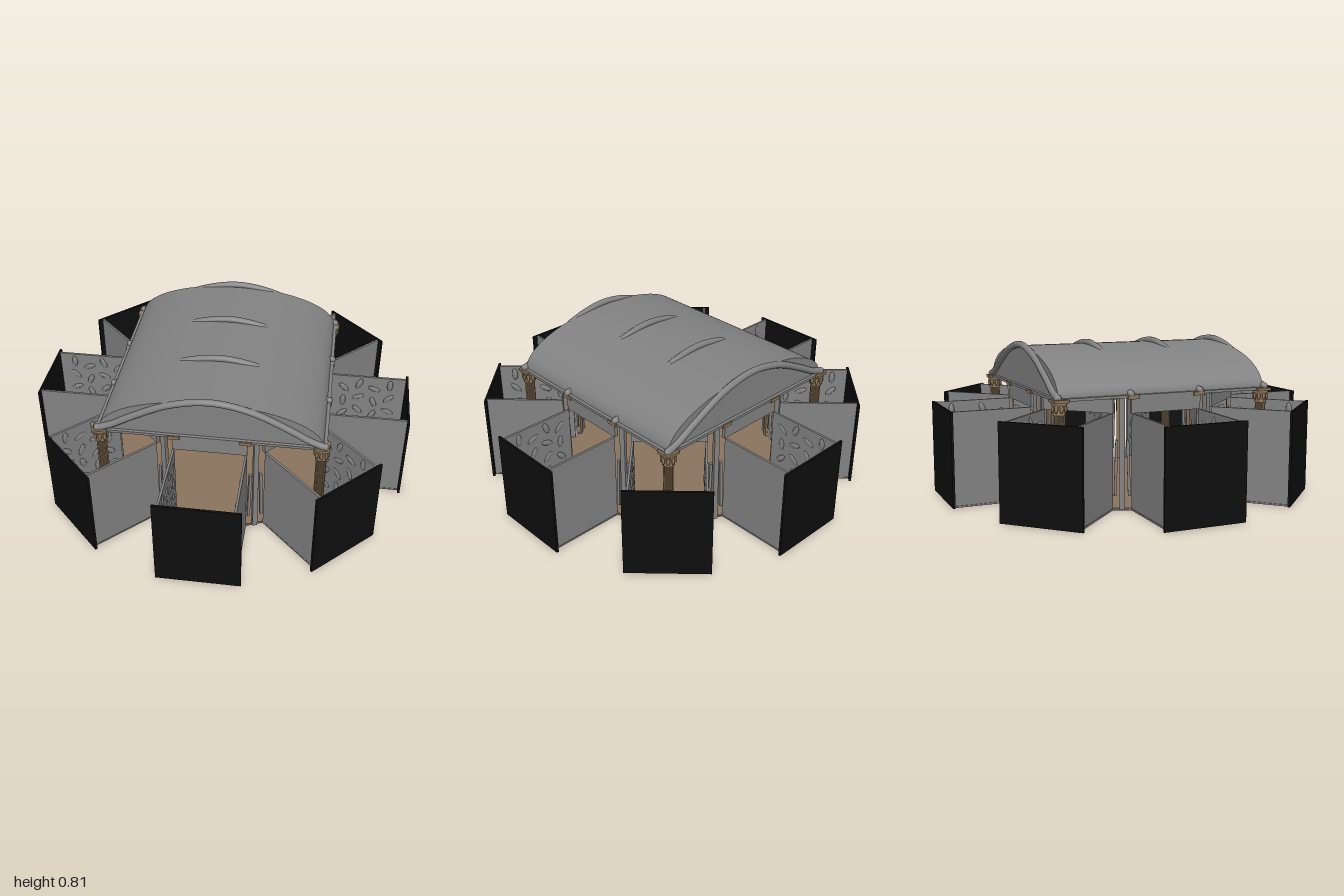
import * as THREE from 'three';

const mat = (name, color, extra = {}) => {
  const m = new THREE.MeshStandardMaterial({ color, ...extra });
  m.name = name;
  return m;
};

export function createModel() {
  const model = new THREE.Group();
  model.name = 'pavilion';
  const stone = mat('grey stone', 0x828282);
  const black = mat('black panel', 0x0e0e0e);
  const brown = mat('brown floor', 0x8a745e);
  const tan = mat('tan carving', 0x8c7557);

  const add = (parent, name, geo, material, x = 0, y = 0, z = 0) => {
    const mesh = new THREE.Mesh(geo, material);
    mesh.name = name;
    mesh.position.set(x, y, z);
    parent.add(mesh);
    return mesh;
  };
  const box = (parent, name, w, h, d, material, x, y, z) =>
    add(parent, name, new THREE.BoxGeometry(w, h, d), material, x, y, z);

  // Eight-armed floor plan: a stone slab with a thin brown floor on it
  const INNER = 0.58, END = 0.99, HALF = 0.19;
  const starSlab = (half, end, depth) => {
    const pts = [];
    for (let k = 0; k < 8; k++) {
      const a = k * Math.PI / 4, c = Math.cos(a), s = Math.sin(a);
      for (const [r, w] of [[INNER, -half], [end, -half], [end, half], [INNER, half]])
        pts.push(new THREE.Vector2(r * c - w * s, r * s + w * c));
    }
    return new THREE.ExtrudeGeometry(new THREE.Shape(pts), { depth, bevelEnabled: false })
      .rotateX(-Math.PI / 2);
  };
  add(model, 'baseSlab', starSlab(HALF, END, 0.008), stone);
  add(model, 'floor', starSlab(HALF - 0.005, END - 0.005, 0.004), brown, 0, 0.008, 0);

  // Open-topped booths around the hall
  const leaf = new THREE.SphereGeometry(1, 8, 6);
  for (let k = 0; k < 8; k++) {
    const booth = new THREE.Group();
    booth.name = 'booth';
    booth.rotation.y = k * Math.PI / 4;
    model.add(booth);
    box(booth, 'endPanel', 0.43, 0.488, 0.012, black, 0, 0.246, 0.994);
    for (const s of [-1, 1]) {
      box(booth, 'sideWall', 0.012, 0.478, END - INNER, stone, s * 0.184, 0.249, (END + INNER) / 2);
      // Shallow carved relief on the inside of the wall
      for (let i = 0; i < 4; i++) for (let j = 0; j < 4; j++) {
        const m = add(booth, 'wallRelief', leaf, stone, s * 0.178,
          0.14 + j * 0.09 + (i % 2) * 0.03, 0.65 + i * 0.085);
        m.scale.set(0.007, 0.036, 0.016);
        m.rotation.x = ((i * 3 + j * 5) % 7 - 3) * 0.4;
      }
    }
    // Lintel above the booth opening, tan on the hall side
    box(booth, 'lintel', 0.38, 0.085, 0.012, stone, 0, 0.53, 0.572);
    box(booth, 'lintelLining', 0.38, 0.085, 0.008, tan, 0, 0.53, 0.562);
    for (const s of [-1, 1]) box(booth, 'bracket', 0.06, 0.018, 0.02, tan, s * 0.18, 0.567, 0.578);

    // Post in the notch between two booths, with narrow framed leaves beside it
    const notch = new THREE.Group();
    notch.name = 'notchPost';
    notch.rotation.y = (k + 0.5) * Math.PI / 4;
    model.add(notch);
    box(notch, 'post', 0.026, 0.57, 0.016, stone, 0, 0.289, 0.612);
    box(notch, 'postBacking', 0.024, 0.56, 0.012, tan, 0, 0.284, 0.598);
    for (const s of [-1, 1]) {
      const strip = box(notch, 'doorLeaf', 0.014, 0.28, 0.02, stone, s * 0.031, 0.215, 0.606);
      strip.rotation.z = s * 0.03;
    }
  }

  // Corner columns with fluted shafts and flared capitals
  const flutes = new THREE.Shape();
  for (let i = 0; i <= 48; i++) {
    const a = i / 48 * Math.PI * 2, r = i % 4 < 2 ? 0.027 : 0.023;
    flutes[i ? 'lineTo' : 'moveTo'](r * Math.cos(a), r * Math.sin(a));
  }
  const shaftGeo = new THREE.ExtrudeGeometry(flutes, { depth: 0.45, bevelEnabled: false })
    .rotateX(-Math.PI / 2);
  const lathe = pts => new THREE.LatheGeometry(pts.map(p => new THREE.Vector2(...p)), 20);
  const capitalGeo = lathe([[0.026, 0], [0.032, 0.004], [0.027, 0.01], [0.028, 0.03],
    [0.036, 0.05], [0.044, 0.064], [0, 0.064]]);
  const footGeo = lathe([[0.04, 0], [0.042, 0.012], [0.032, 0.02], [0.035, 0.03], [0.026, 0.04]]);
  for (const sx of [-1, 1]) for (const sz of [-1, 1]) {
    const column = new THREE.Group();
    column.name = 'cornerColumn';
    column.position.set(sx * 0.557, 0, sz * 0.557);
    model.add(column);
    add(column, 'shaft', shaftGeo, tan, 0, 0.05, 0);
    add(column, 'foot', footGeo, tan, 0, 0.02, 0);
    box(column, 'plinth', 0.085, 0.012, 0.085, tan, 0, 0.016, 0);
    add(column, 'capital', capitalGeo, tan, 0, 0.498, 0);
    box(column, 'abacus', 0.078, 0.014, 0.078, tan, 0, 0.568, 0);
    // Curled leaves on the capital
    for (let i = 0; i < 8; i++) {
      const a = i * Math.PI / 4;
      const m = add(column, 'capitalLeaf', leaf, tan, 0.034 * Math.cos(a), 0.532, 0.034 * Math.sin(a));
      m.scale.set(0.007, 0.022, 0.009);
      m.rotation.y = -a;
    }
  }

  // Vaulted roof: half ellipse swept front to back
  const vault = new THREE.Shape();
  vault.moveTo(0.565, 0.572);
  vault.absellipse(0, 0.572, 0.565, 0.212, 0, Math.PI, false);
  vault.closePath();
  add(model, 'vaultedRoof', new THREE.ExtrudeGeometry(vault,
    { depth: 1.13, bevelEnabled: false, curveSegments: 40 }), stone, 0, 0, -0.565);

  // Arched ribs over the vault
  const ribCurve = new THREE.CatmullRomCurve3([[-0.575, 0.58], [-0.5, 0.607], [-0.4, 0.663], [-0.2, 0.757],
    [0, 0.793], [0.2, 0.757], [0.4, 0.663], [0.5, 0.607], [0.575, 0.58]]
    .map(([x, y]) => new THREE.Vector3(x, y, 0)));
  const ribGeo = new THREE.TubeGeometry(ribCurve, 48, 0.018, 10);
  for (const z of [-0.57, -0.19, 0.19, 0.57]) {
    add(model, 'roofRib', ribGeo, stone, 0, 0, z);
    for (const s of [-1, 1])
      add(model, 'ribEnd', new THREE.SphereGeometry(0.019, 10, 8), stone, s * 0.572, 0.582, z);
  }

  // Eaves along both sides and both gables
  for (const s of [-1, 1]) {
    box(model, 'sideEaves', 0.02, 0.014, 1.13, stone, s * 0.572, 0.572, 0);
    box(model, 'gableEaves', 1.13, 0.014, 0.02, stone, 0, 0.572, s * 0.572);
  }
  return model;
}
